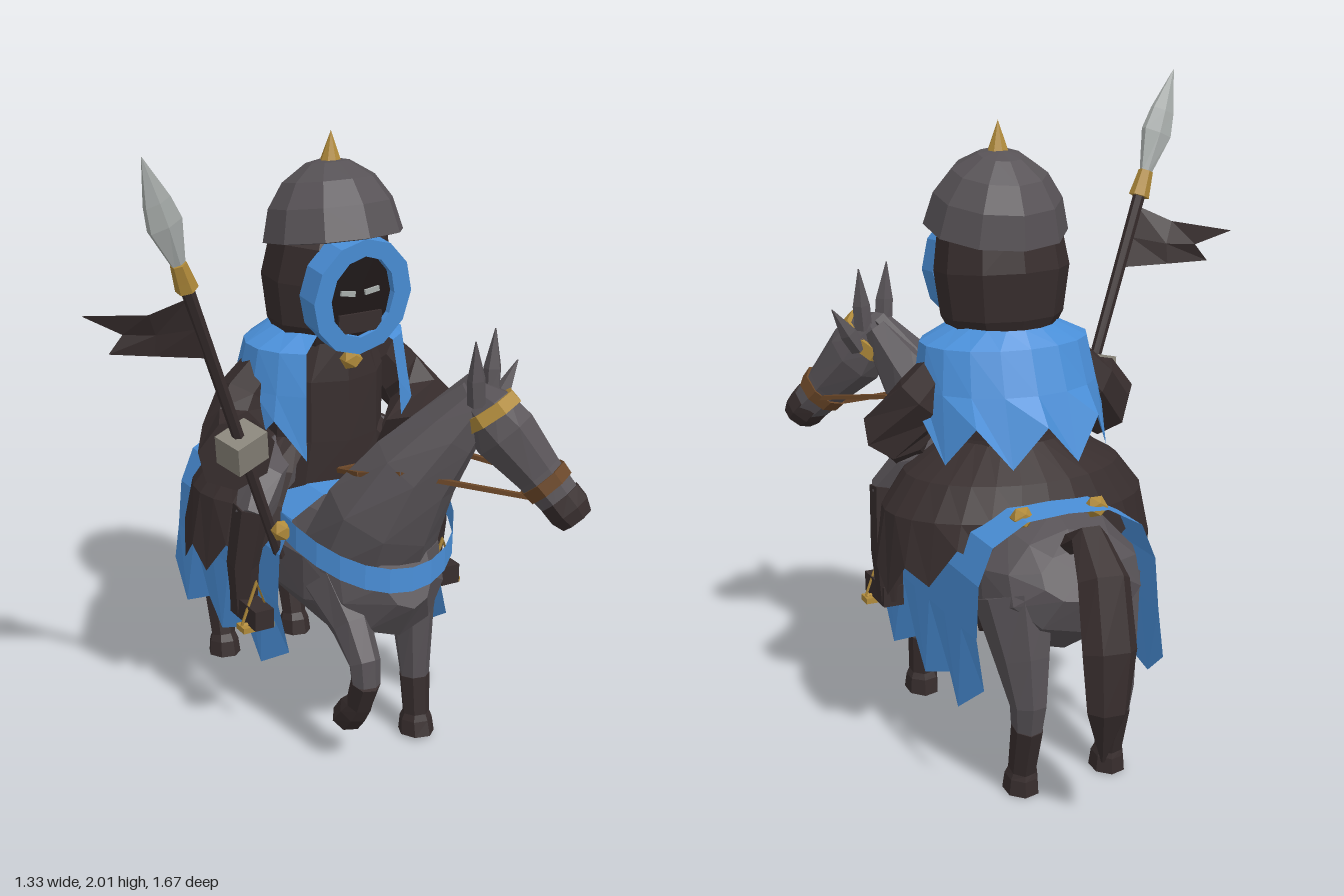
import * as THREE from 'three';

const mat = (name, color, side = THREE.FrontSide) => {
  const m = new THREE.MeshStandardMaterial({ color, side });
  m.name = name;
  return m;
};
const V = (x, y, z) => new THREE.Vector3(x, y, z);
const CX = 0.21; // mid-plane of horse and rider

// Build a faceted geometry from points and triangle indices
function faceted(points, index) {
  const g = new THREE.BufferGeometry().setFromPoints(points);
  g.setIndex(index);
  return g;
}

// Capped tube through sections [x, y, z, ru, rv]; ref steers the section axes
function loft(secs, sides = 8, ref = V(0, 1, 0)) {
  const c = secs.map(s => V(s[0], s[1], s[2])), pts = [], idx = [], n = secs.length;
  secs.forEach((s, i) => {
    const t = c[Math.min(i + 1, n - 1)].clone().sub(c[Math.max(i - 1, 0)]).normalize();
    const u = ref.clone().cross(t).normalize(), v = t.clone().cross(u);
    for (let j = 0; j < sides; j++) {
      const a = (j + 0.5) / sides * Math.PI * 2;
      pts.push(c[i].clone().addScaledVector(u, s[3] * Math.cos(a)).addScaledVector(v, (s[4] ?? s[3]) * Math.sin(a)));
    }
  });
  for (let j = 0; j < sides; j++) {
    const k = (j + 1) % sides;
    for (let i = 0; i < n - 1; i++) {
      const a = i * sides + j, b = i * sides + k;
      idx.push(a, b, b + sides, a, b + sides, a + sides);
    }
    const e = (n - 1) * sides;
    idx.push(n * sides, k, j, n * sides + 1, e + j, e + k);
  }
  pts.push(c[0], c[n - 1]);
  return faceted(pts, idx);
}

// Open sheet from rows of points
function sheet(rows) {
  const w = rows[0].length, idx = [];
  for (let i = 0; i < rows.length - 1; i++)
    for (let j = 0; j < w - 1; j++) {
      const a = i * w + j, b = a + w;
      idx.push(a, b, b + 1, a, b + 1, a + 1);
    }
  return faceted(rows.flat(), idx);
}

// Cloth hung round the rider, open at the front: rings [y or y(angle, column), rx, rz, cz]
function drape(rings, open, n) {
  return sheet(rings.map(([y, rx, rz, cz]) => Array.from({ length: n + 1 }, (_, i) => {
    const a = open + (Math.PI * 2 - 2 * open) * i / n;
    return V(CX + rx * Math.sin(a), typeof y === 'function' ? y(a, i) : y, cz + rz * Math.cos(a));
  })));
}

export function createModel() {
  const root = new THREE.Group();
  const hide = mat('horse grey', 0x575256);
  const dark = mat('dark brown cloth', 0x372d2d, THREE.DoubleSide);
  const blue = mat('blue cloth', 0x4a8fd8, THREE.DoubleSide);
  const gold = mat('gold', 0xb08a3a);
  const leather = mat('brown leather', 0x6b4728);
  const steel = mat('blade steel', 0xa9aeac);
  const glove = mat('glove grey', 0x89857a);
  const shade = mat('face shadow', 0x1e1717);
  const add = (name, geo, material, pos) => {
    const g = geo.index ? geo.toNonIndexed() : geo;
    g.computeVertexNormals();
    const m = new THREE.Mesh(g, material);
    m.name = name;
    if (pos) m.position.set(...pos);
    root.add(m);
    return m;
  };
  const Z = V(0, 0, 1), X = V(1, 0, 0);

  // Horse body, neck and head
  add('horseBody', loft([[-0.575, 0.68, 0.13, 0.08], [-0.53, 0.65, 0.215, 0.15], [-0.42, 0.62, 0.26, 0.21],
    [-0.2, 0.6, 0.26, 0.2], [0.05, 0.6, 0.265, 0.21], [0.27, 0.6, 0.25, 0.23], [0.4, 0.62, 0.19, 0.2],
    [0.48, 0.66, 0.09, 0.12]].map(([z, y, rx, ry]) => [CX, y, z, rx, ry]), 10), hide);
  add('neck', loft([[0.2, 0.66, 0.28, 0.22, 0.18], [0.21, 0.82, 0.36, 0.19, 0.17], [0.27, 0.97, 0.43, 0.14, 0.14],
    [0.35, 1.1, 0.49, 0.095, 0.115], [0.41, 1.2, 0.54, 0.06, 0.08]], 8, V(0, 0.2, 1)), hide);
  const roll = V(-0.3, 1, 0);
  add('head', loft([[0.4, 1.21, 0.52, 0.05, 0.05], [0.42, 1.17, 0.565, 0.085, 0.095], [0.46, 1.1, 0.61, 0.095, 0.11],
    [0.53, 0.99, 0.69, 0.075, 0.08], [0.58, 0.91, 0.75, 0.068, 0.066]], 8, roll), hide);
  add('muzzle', loft([[0.572, 0.925, 0.742, 0.071, 0.07], [0.592, 0.89, 0.767, 0.072, 0.068],
    [0.608, 0.862, 0.785, 0.058, 0.052]], 8, roll), dark);
  add('noseBand', loft([[0.537, 0.98, 0.698, 0.08, 0.086], [0.556, 0.95, 0.718, 0.078, 0.081]], 8, roll), leather);
  add('browBand', loft([[0.418, 1.18, 0.563, 0.093, 0.104], [0.434, 1.148, 0.582, 0.097, 0.11]], 8, roll), gold);

  // Ears and forelock spike, from base to tip
  [['rightEar', 0.37, 1.2, 0.59, 0.35, 1.4, 0.6], ['leftEar', 0.46, 1.2, 0.53, 0.475, 1.4, 0.52],
    ['maneTuft', 0.48, 1.14, 0.52, 0.575, 1.28, 0.5]].forEach(([name, x, y, z, a, b, c]) =>
    add(name, loft([[x, y, z, 0.03, 0.03], [x * 0.6 + a * 0.4, y * 0.6 + b * 0.4, z * 0.6 + c * 0.4, 0.03, 0.024],
      [a, b, c, 0.002, 0.002]], 5, Z), hide));
  // Notched mane along the crest
  const crest = [[0.41, 1.23, 0.51], [0.34, 1.14, 0.43], [0.27, 1.04, 0.36], [0.22, 0.95, 0.29], [0.21, 0.85, 0.24]];
  add('mane', loft(crest.map(([x, y, z], i) => [x, y, z, 0.025, i % 2 ? 0.035 : 0.05]), 4, Z), hide);

  // Legs: grey above, dark below with hooves
  const leg = (name, x, upper, lower) => {
    add(name + 'Upper', loft(upper.map(p => [x, ...p]), 7, Z), hide);
    add(name + 'Lower', loft(lower.map(p => [x, ...p]), 7, Z), dark);
  };
  leg('leftForeleg', 0.355, [[0.6, 0.28, 0.1, 0.11], [0.42, 0.3, 0.065, 0.085], [0.2, 0.325, 0.047, 0.05]],
    [[0.2, 0.325, 0.049, 0.052], [0.07, 0.34, 0.043, 0.045], [0.05, 0.34, 0.052, 0.055], [0, 0.345, 0.056, 0.066]]);
  leg('rightForeleg', 0.07, [[0.58, 0.29, 0.1, 0.11], [0.47, 0.4, 0.06, 0.075], [0.38, 0.48, 0.05, 0.052], [0.31, 0.49, 0.045, 0.045]],
    [[0.32, 0.49, 0.047, 0.047], [0.23, 0.455, 0.042, 0.042], [0.2, 0.43, 0.052, 0.052], [0.15, 0.39, 0.056, 0.05]]);
  for (const [name, x, dz] of [['leftHindLeg', 0.36, -0.02], ['rightHindLeg', 0.06, 0.01]])
    leg(name, x, [[0.6, -0.41 + dz, 0.12, 0.14], [0.42, -0.47 + dz, 0.08, 0.1], [0.29, -0.51 + dz, 0.055, 0.06], [0.2, -0.495 + dz, 0.045, 0.05]],
      [[0.22, -0.5 + dz, 0.048, 0.053], [0.07, -0.46 + dz, 0.042, 0.045], [0.05, -0.455 + dz, 0.05, 0.055], [0, -0.45 + dz, 0.055, 0.062]]);
  add('tail', loft([[0.21, 0.76, -0.52, 0.035, 0.045], [0.21, 0.81, -0.62, 0.04, 0.055], [0.22, 0.72, -0.73, 0.055, 0.08],
    [0.23, 0.53, -0.79, 0.05, 0.085], [0.24, 0.36, -0.8, 0.045, 0.065], [0.24, 0.19, -0.77, 0.004, 0.006]], 6, X), dark);

  // Blanket with pointed hem
  const topZ = [0.205, 0.1, 0, -0.12, -0.24, -0.37, -0.485], hemZ = [0.28, 0.14, 0.01, -0.13, -0.27, -0.39, -0.53];
  const hemY = [0.36, 0.27, 0.33, 0.27, 0.32, 0.26, 0.36];
  const profile = [[0.3, 0], [0.295, 0.5], [0.285, 0.66], [0.24, 0.77], [0.13, 0.832]];
  const strip = [...profile.map(([x, y]) => [-x, y]), [0, 0.84], ...profile.reverse()];
  add('blanket', sheet(strip.map(([x, y]) => topZ.map((z, i) => y
    ? V(CX + x, y, THREE.MathUtils.lerp(z, hemZ[i], Math.max(0, 0.6 - y)))
    : V(CX + x * (i % 2 ? 1.05 : 0.97), hemY[i], hemZ[i])))), blue);
  // Breast collar
  add('breastCollar', sheet([0.04, -0.04].map(h => Array.from({ length: 13 }, (_, i) => {
    const a = (i / 12 - 0.5) * Math.PI;
    return V(CX + 0.285 * Math.sin(a), 0.77 - 0.125 * Math.cos(a) ** 1.3 + h, 0.21 + 0.31 * Math.cos(a));
  }))), blue);
  // Gold studs and brooch
  [[-0.08, 0.755, 0.23], [0.5, 0.755, 0.23], [0.09, 0.825, -0.42], [0.33, 0.825, -0.42], [CX, 1.235, 0.14]].forEach(p =>
    add('stud', new THREE.IcosahedronGeometry(0.036, 0), gold, p));
  // Reins
  const rein = pts => {
    for (let i = 0; i < pts.length - 1; i++)
      add('rein', loft([[...pts[i], 0.01, 0.01], [...pts[i + 1], 0.01, 0.01]], 4), leather);
  };
  rein([[0.5, 0.92, 0.69], [0.17, 0.99, 0.5], [0.1, 0.96, 0.38], [0.1, 0.93, 0.26], [0.36, 0.92, 0.24]]);
  rein([[0.6, 0.95, 0.68], [0.42, 0.99, 0.44], [0.38, 0.93, 0.25]]);

  // Rider torso, skirt and mantle
  add('torso', loft([[CX, 0.82, -0.06, 0.24, 0.2], [CX, 0.98, -0.04, 0.2, 0.18], [CX, 1.17, -0.03, 0.2, 0.16],
    [CX, 1.3, -0.02, 0.13, 0.13]], 10, Z), dark);
  add('skirt', drape([[0.98, 0.19, 0.17, -0.05], [0.89, 0.34, 0.255, -0.08], [0.79, 0.415, 0.285, -0.09],
    [(a, i) => 0.75 - 0.16 * Math.sin(a) ** 2 + (i % 2 ? -0.05 : 0.03), 0.445, 0.3, -0.09]], 0.62, 22), dark);
  add('mantle', drape([[1.32, 0.16, 0.16, -0.03], [1.27, 0.265, 0.2, -0.03], [1.14, 0.285, 0.24, -0.04],
    [(a, i) => (i % 2 ? 1.06 : 0.94), 0.3, 0.29, -0.06]], 0.62, 14), blue);

  for (const [side, s] of [['left', 1], ['right', -1]]) {
    const at = x => CX + s * x;
    // Riding legs, boots and stirrups
    add(side + 'Thigh', loft([[at(0.14), 0.9, -0.04, 0.1, 0.09], [at(0.27), 0.86, 0.07, 0.08, 0.08],
      [at(0.34), 0.77, 0.13, 0.055, 0.055]], 6, V(0, 1, 0)), hide);
    add(side + 'Shin', loft([[at(0.33), 0.8, 0.11, 0.06, 0.06], [at(0.35), 0.6, 0.085, 0.05, 0.055],
      [at(0.345), 0.44, 0.085, 0.04, 0.04]], 6, Z), dark);
    add(side + 'Boot', new THREE.BoxGeometry(0.065, 0.065, 0.17), dark, [at(0.345), 0.458, 0.135]);
    const st = new THREE.TorusGeometry(0.09, 0.009, 4, 3);
    st.rotateZ(Math.PI / 2);
    st.scale(0.65, 1, 1);
    add(side + 'Stirrup', st, gold, [at(0.345), 0.475, 0.165]);
    add(side + 'StirrupBar', new THREE.BoxGeometry(0.115, 0.018, 0.05), gold, [at(0.345), 0.418, 0.165]);
    // Sleeves with flared cuffs, and gloves
    const hand = s < 0 ? [-0.22, 1.055, 0.235] : [0.365, 0.93, 0.245];
    const cuff = s < 0 ? [-0.21, 1.01, 0.18] : [0.42, 0.93, 0.18];
    add(side + 'Sleeve', loft([[at(0.19), 1.19, -0.04, 0.08, 0.08], [at(0.27), 1.1, -0.04, 0.095, 0.095],
      [at(0.34), 1.01, 0.01, 0.1, 0.1], [...cuff, 0.125, 0.11]], 7, V(s, 1, 0)), dark);
    add(side + 'Glove', new THREE.BoxGeometry(0.12, 0.1, 0.1), glove, hand).rotation.set(0.2, 0.3, 0.2);
  }

  // Hood, rim and face
  add('hood', loft([[CX, 1.27, -0.025, 0.15, 0.125], [CX, 1.34, -0.02, 0.19, 0.16], [CX, 1.48, -0.02, 0.21, 0.175],
    [CX, 1.6, -0.005, 0.19, 0.165], [CX, 1.71, 0, 0.1, 0.1]], 10, Z), dark);
  const rim = new THREE.Shape().absellipse(0, 0, 0.17, 0.185, 0, Math.PI * 2);
  rim.holes.push(new THREE.Path().absellipse(0, 0, 0.11, 0.13, 0, Math.PI * 2, true));
  add('hoodRim', new THREE.ExtrudeGeometry(rim, { depth: 0.09, bevelEnabled: false, curveSegments: 6 }), blue, [CX, 1.455, 0.115]).rotation.x = 0.08;
  add('face', new THREE.CircleGeometry(0.13, 12).scale(0.9, 1.05, 1), shade, [CX, 1.455, 0.18]);
  add('faceMask', new THREE.BoxGeometry(0.15, 0.06, 0.009), dark, [CX, 1.365, 0.187]);
  for (const s of [-1, 1])
    add('eye', new THREE.BoxGeometry(0.05, 0.016, 0.008), steel, [CX + s * 0.042, 1.46, 0.185]).rotation.z = s * 0.15;

  // Helmet and spike
  const dome = [[0.19, -0.005], [0.22, 0], [0.195, 0.1], [0.145, 0.175], [0.07, 0.225], [0, 0.24]];
  add('helmet', new THREE.LatheGeometry(dome.map(p => new THREE.Vector2(...p)), 10), hide, [CX, 1.597, 0.022]).rotation.x = -0.19;
  add('helmetSpike', new THREE.ConeGeometry(0.036, 0.1, 8), gold, [CX, 1.868, 0]);

  // Spear along one slanted line, with pennant
  const spear = secs => loft(secs.map(([y, a, b]) => [-0.22 - 0.4 * (y - 1.05), y, 0.24 + 0.168 * (y - 1.05), a, b]), 6, Z);
  add('spearShaft', spear([[0.64, 0.017], [1.62, 0.02]]), dark);
  add('spearFerrule', spear([[1.6, 0.034], [1.63, 0.03], [1.68, 0.024]]), gold);
  add('spearBlade', spear([[1.67, 0.02, 0.014], [1.8, 0.058, 0.025], [1.87, 0.045, 0.02], [2, 0.001, 0.001]]), steel);
  add('pennant', sheet([[V(-0.43, 1.57, 0.325), V(-0.4, 1.47, 0.31), V(-0.37, 1.375, 0.295)],
    [V(-0.53, 1.52, 0.27), V(-0.5, 1.45, 0.25), V(-0.5, 1.385, 0.24)],
    [V(-0.675, 1.5, 0.13), V(-0.58, 1.45, 0.2), V(-0.62, 1.395, 0.19)]]), dark);
  return root;
}
